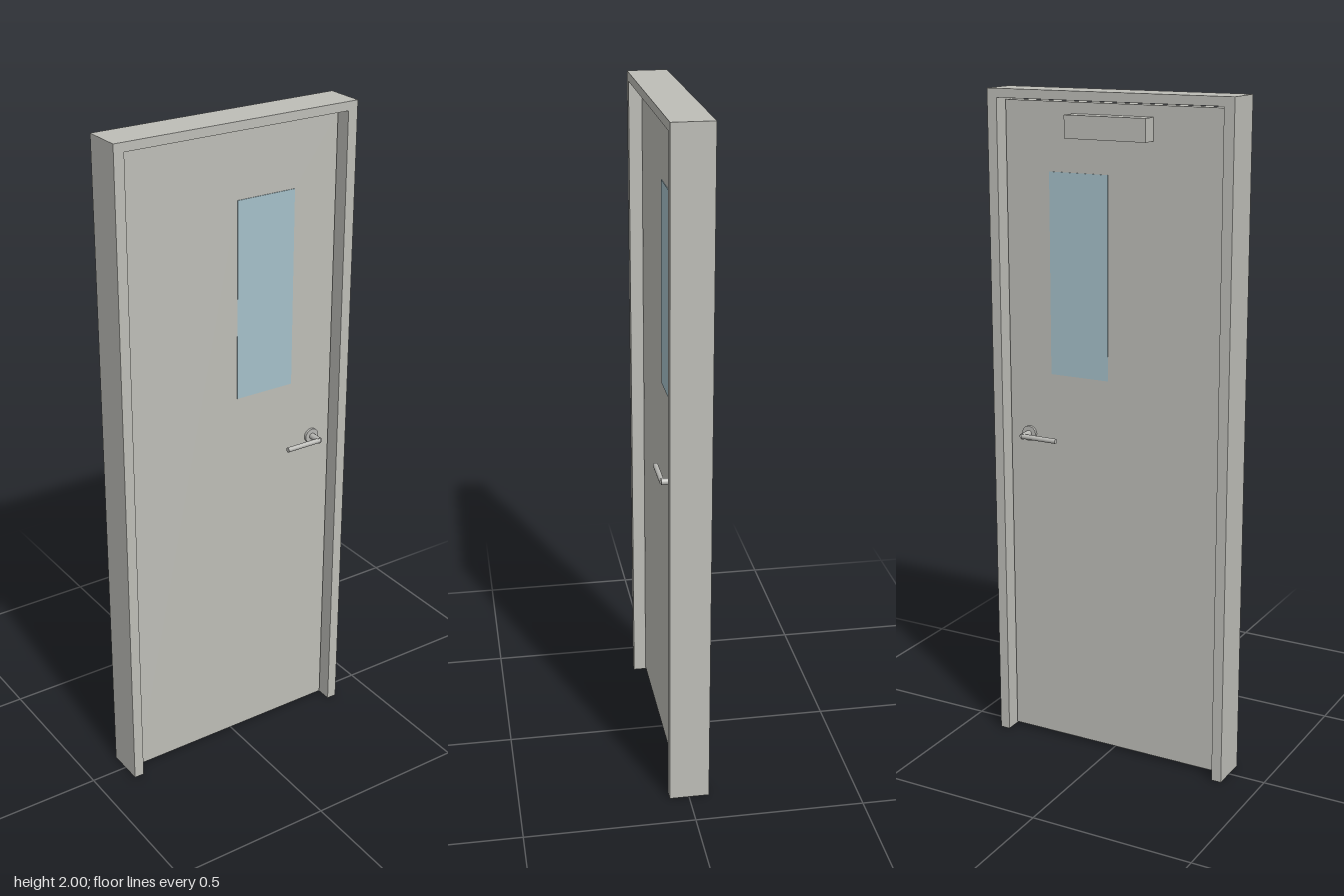
import * as THREE from 'three';

export function createModel() {
  const model = new THREE.Group();
  model.name = 'door';

  const makeMaterial = (name, color) => {
    const m = new THREE.MeshStandardMaterial({ color });
    m.name = name;
    return m;
  };
  const paint = makeMaterial('grey paint', 0xbdbdb7);
  const metal = makeMaterial('brushed metal', 0xb8b8b4);
  const glass = makeMaterial('pale blue glass', 0xa5c0c9);

  const add = (parent, name, geometry, material) => {
    const mesh = new THREE.Mesh(geometry, material);
    mesh.name = name;
    parent.add(mesh);
    return mesh;
  };
  // Box given by its low and high corners
  const box = (parent, name, [x0, y0, z0], [x1, y1, z1], material) => {
    const mesh = add(parent, name, new THREE.BoxGeometry(x1 - x0, y1 - y0, z1 - z0), material);
    mesh.position.set((x0 + x1) / 2, (y0 + y1) / 2, (z0 + z1) / 2);
    return mesh;
  };

  const W = 0.386, inner = 0.355, headY = 1.974;
  const slabX = 0.348, slabFront = 0.02, slabBack = -0.022;
  const winX = [0.015, 0.205], winY = [1.175, 1.77];

  // Frame: two jambs joined by a head, open at the floor
  const outline = new THREE.Shape([
    [-W, 0], [-inner, 0], [-inner, headY], [inner, headY],
    [inner, 0], [W, 0], [W, 2], [-W, 2],
  ].map(([x, y]) => new THREE.Vector2(x, y)));
  const frameGeo = new THREE.ExtrudeGeometry(outline, { depth: 0.118, bevelEnabled: false });
  frameGeo.translate(0, 0, -0.06);
  add(model, 'frame', frameGeo, paint);

  // Leaf with a cut-out for the window
  const leafShape = new THREE.Shape([
    [-slabX, 0.01], [slabX, 0.01], [slabX, 1.967], [-slabX, 1.967],
  ].map(([x, y]) => new THREE.Vector2(x, y)));
  leafShape.holes.push(new THREE.Path([
    [winX[0], winY[0]], [winX[0], winY[1]], [winX[1], winY[1]], [winX[1], winY[0]],
  ].map(([x, y]) => new THREE.Vector2(x, y))));
  const leafGeo = new THREE.ExtrudeGeometry(leafShape, { depth: slabFront - slabBack, bevelEnabled: false });
  leafGeo.translate(0, 0, slabBack);
  add(model, 'leaf', leafGeo, paint);

  // Window pane, slightly proud of both faces
  box(model, 'windowPane', [winX[0], winY[0], slabBack - 0.002],
    [winX[1], winY[1], slabFront + 0.002], glass);

  // Closer body on the back
  box(model, 'closer', [-0.128, 1.87, -0.07], [0.128, 1.935, slabBack], paint);

  // Hinges in the gap on the hinge side
  for (const y of [0.25, 0.985, 1.745]) {
    box(model, 'hinge', [-0.356, y - 0.048, -0.033], [-0.347, y + 0.048, -0.018], metal);
  }

  // Lever handle on each face: rose, neck and lever
  for (const side of [1, -1]) {
    const handle = new THREE.Group();
    handle.name = side > 0 ? 'frontHandle' : 'backHandle';
    handle.position.set(0.283, 0.983, side > 0 ? slabFront : slabBack);
    if (side < 0) handle.rotation.x = Math.PI;

    const rose = add(handle, 'rose', new THREE.CylinderGeometry(0.023, 0.023, 0.008, 32), metal);
    rose.rotation.x = Math.PI / 2;
    rose.position.z = 0.004;

    const neck = add(handle, 'neck', new THREE.CylinderGeometry(0.0095, 0.0095, 0.046, 24), metal);
    neck.rotation.x = Math.PI / 2;
    neck.position.z = 0.023;

    const lever = add(handle, 'lever', new THREE.CylinderGeometry(0.0075, 0.0075, 0.117, 24), metal);
    lever.rotation.z = Math.PI / 2;
    lever.position.set(-0.0565, 0, 0.0435);
    model.add(handle);
  }

  return model;
}
